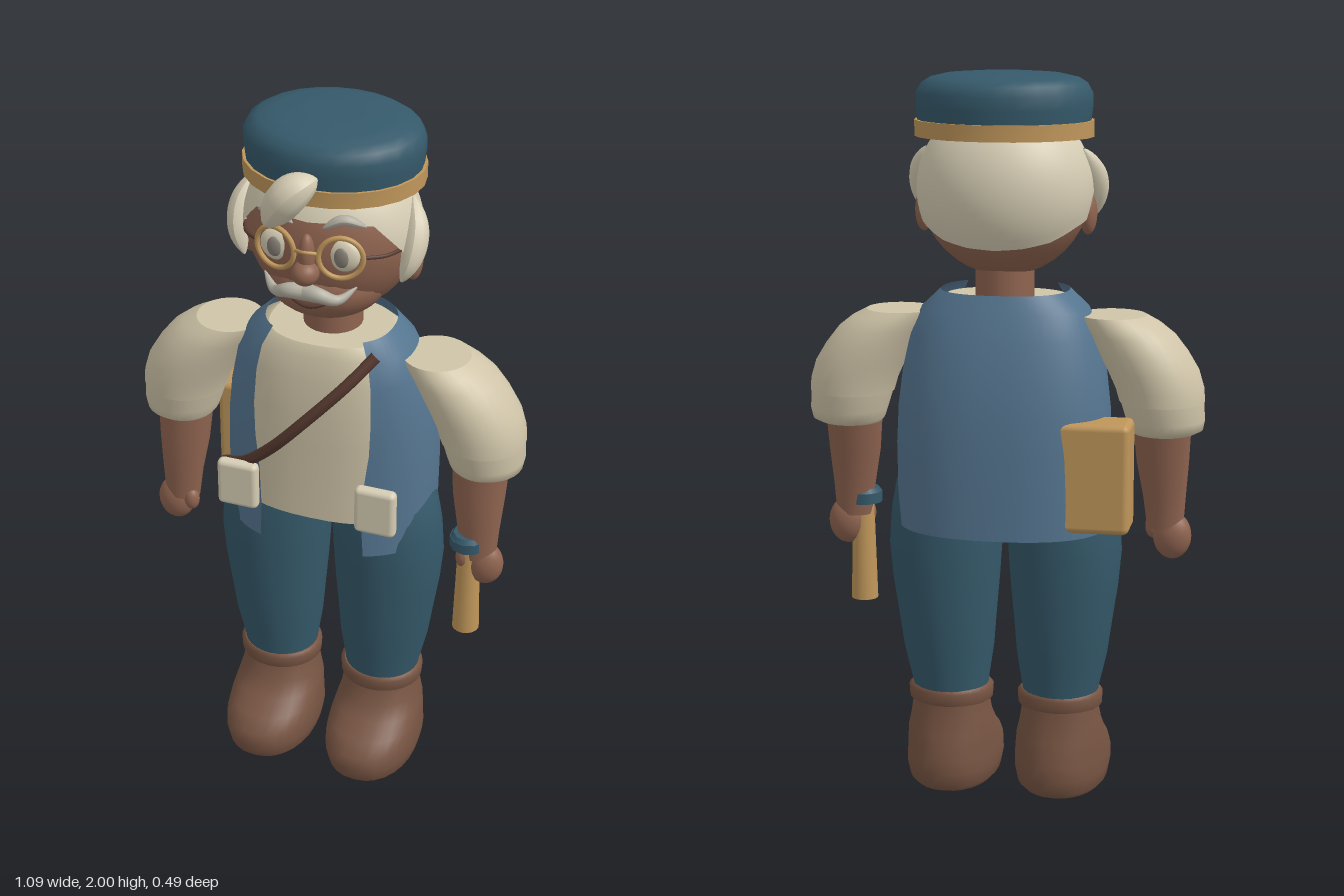
import * as THREE from 'three';
import { mergeVertices } from 'three/addons/utils/BufferGeometryUtils.js';
import { RoundedBoxGeometry } from 'three/addons/geometries/RoundedBoxGeometry.js';

const mat = (name, color, side = THREE.FrontSide) => {
  const m = new THREE.MeshStandardMaterial({ color, side });
  m.name = name;
  return m;
};

export function createModel() {
  const root = new THREE.Group();
  root.name = 'craftsman';
  const M = {
    skin: mat('skin', 0x8f6450),
    cream: mat('shirt cream', 0xcfc4a8),
    hair: mat('pale hair', 0xd6cdb4, THREE.DoubleSide),
    grey: mat('moustache grey', 0xb3afa2),
    teal: mat('deep teal', 0x35596a),
    vest: mat('vest blue', 0x557590, THREE.DoubleSide),
    gold: mat('tan gold', 0xbf965a),
    boot: mat('boot brown', 0x785543),
    strap: mat('dark leather', 0x573a30),
    iris: mat('iris grey', 0x857f75),
  };
  const add = (name, geo, m, x = 0, y = 0, z = 0) => {
    const mesh = new THREE.Mesh(geo, m);
    mesh.name = name;
    mesh.position.set(x, y, z);
    root.add(mesh);
    return mesh;
  };

  // Surface grid: u runs counter-clockwise seen from above, v runs upward
  const grid = (nu, nv, fn) => {
    const pos = [], idx = [];
    for (let j = 0; j <= nv; j++) for (let i = 0; i <= nu; i++) pos.push(...fn(i / nu, j / nv, j));
    for (let j = 0; j < nv; j++) for (let i = 0; i < nu; i++) {
      const a = j * (nu + 1) + i, b = a + 1, c = a + nu + 1;
      idx.push(a, b, c + 1, a, c + 1, c);
    }
    const g = new THREE.BufferGeometry();
    g.setAttribute('position', new THREE.Float32BufferAttribute(pos, 3));
    g.setIndex(idx);
    const merged = mergeVertices(g, 1e-5);
    merged.computeVertexNormals();
    return merged;
  };
  const se = (v, p) => Math.sign(v) * Math.abs(v) ** (2 / p);

  // Stacked oval rings [y, cx, cz, rx, rz] from bottom to top, with flat ends
  const loft = (name, rings, m, s = 1, p = 2, n = 28) => {
    const at = (r, a) => [r[1] * s + r[3] * se(Math.sin(a), p), r[0], r[2] + r[4] * se(Math.cos(a), p)];
    add(name, grid(n, rings.length - 1, (u, v, j) => at(rings[j], u * Math.PI * 2)), m);
    [rings[0], rings[rings.length - 1]].forEach((r, k) => {
      const dot = [r[0], r[1], r[2], 0, 0];
      const ends = k ? [r, dot] : [dot, r];
      add(name + 'End', grid(n, 1, (u, v, j) => at(ends[j], u * Math.PI * 2)), m);
    });
  };

  // Tube through points whose radius follows a function of its length
  const strand = (name, pts, radius, m, n = 20) => {
    const curve = new THREE.CatmullRomCurve3(pts.map(q => new THREE.Vector3(...q)));
    const g = new THREE.TubeGeometry(curve, n, 1, 10), pa = g.attributes.position, v = new THREE.Vector3();
    for (let i = 0; i < pa.count; i++) {
      const t = Math.floor(i / 11) / n, c = curve.getPointAt(t);
      v.fromBufferAttribute(pa, i).sub(c).multiplyScalar(radius(t)).add(c);
      pa.setXYZ(i, v.x, v.y, v.z);
    }
    g.computeVertexNormals();
    add(name, g, m);
  };
  const leaf = r => t => r * Math.max(Math.sin(Math.PI * t), 0.02) ** 0.6;
  const ball = (name, m, x, y, z, rx, ry, rz) =>
    add(name, new THREE.SphereGeometry(1, 28, 20).scale(rx, ry, rz), m, x, y, z);

  // Legs, boots and arms, mirrored
  for (const s of [1, -1]) {
    loft('trouserLeg', [[0.22, 0.155, -0.012, 0.1, 0.1], [0.3, 0.157, -0.012, 0.108, 0.104], [0.4, 0.161, -0.013, 0.127, 0.12],
      [0.5, 0.164, -0.014, 0.138, 0.128], [0.6, 0.167, -0.015, 0.15, 0.134], [0.7, 0.168, -0.015, 0.158, 0.138],
      [0.8, 0.163, -0.015, 0.156, 0.138], [0.88, 0.155, -0.015, 0.15, 0.13], [0.95, 0.14, -0.015, 0.13, 0.115]], M.teal, s);
    loft('boot', [[0, 0.156, 0.047, 0.112, 0.172], [0.015, 0.156, 0.047, 0.126, 0.187], [0.055, 0.156, 0.047, 0.134, 0.197],
      [0.095, 0.156, 0.046, 0.133, 0.191], [0.13, 0.156, 0.03, 0.129, 0.168], [0.16, 0.156, 0.006, 0.124, 0.137],
      [0.2, 0.156, -0.007, 0.114, 0.114], [0.25, 0.156, -0.012, 0.106, 0.103]], M.boot, s, 2.2);
    loft('bootCuff', [[0.243, 0.156, -0.01, 0.108, 0.1], [0.25, 0.156, -0.01, 0.118, 0.11],
      [0.282, 0.156, -0.01, 0.12, 0.112], [0.292, 0.156, -0.01, 0.11, 0.104]], M.boot, s);
    loft('puffSleeve', [[1.125, 0.43, -0.012, 0.116, 0.12], [1.16, 0.424, -0.012, 0.12, 0.123], [1.21, 0.405, -0.012, 0.124, 0.125],
      [1.26, 0.377, -0.012, 0.122, 0.123], [1.305, 0.347, -0.012, 0.117, 0.116], [1.335, 0.318, -0.012, 0.108, 0.105],
      [1.357, 0.293, -0.012, 0.092, 0.092]], M.cream, s);
    loft('sleeveCuff', [[1.037, 0.436, -0.008, 0.085, 0.085], [1.048, 0.442, -0.01, 0.1, 0.1],
      [1.075, 0.44, -0.012, 0.107, 0.11], [1.13, 0.43, -0.012, 0.114, 0.117]], M.cream, s);
    loft('forearm', [[0.76, 0.44, 0.025, 0.05, 0.038], [0.85, 0.437, 0.022, 0.059, 0.044],
      [0.95, 0.432, 0.012, 0.072, 0.054], [1.06, 0.43, 0, 0.08, 0.06]], M.skin, s);
    ball('hand', M.skin, 0.46 * s, 0.738, 0.025, 0.053, 0.066, 0.041);
    ball('thumb', M.skin, 0.405 * s, 0.757, 0.045, 0.022, 0.034, 0.022);
    add('beltPouch', new RoundedBoxGeometry(0.116, 0.142, 0.036, 3, 0.015), M.hair, 0.197 * s, 0.96, 0.193);
  }

  // Vest and shirt share body rings [y, cz, rx, rz, half opening]
  const body = [[0.77, -0.032, 0.286, 0.208, 0.15], [0.87, -0.032, 0.292, 0.207, 0.145], [1, -0.031, 0.294, 0.204, 0.15],
    [1.1, -0.028, 0.29, 0.2, 0.162], [1.2, -0.022, 0.278, 0.194, 0.165], [1.3, -0.015, 0.257, 0.178, 0.16],
    [1.37, -0.01, 0.228, 0.161, 0.148], [1.42, -0.01, 0.175, 0.142, 0.125]];
  const P = 2.4;
  add('vest', grid(44, body.length - 1, (u, v, j) => {
    const [y, cz, rx, rz, open] = body[j];
    const a0 = Math.asin((open / rx) ** (P / 2)), a = a0 + u * (Math.PI * 2 - 2 * a0);
    return [rx * se(Math.sin(a), P), y, cz + rz * se(Math.cos(a), P)];
  }), M.vest);
  loft('shirt', body.slice(1).map(([y, cz, rx, rz]) => [Math.min(y, 1.4), 0, cz, rx * 0.95, rz * 0.95]), M.cream, 1, P, 44);
  strand('shoulderStrap', [[0.17, 1.4, 0.125], [0.11, 1.33, 0.175], [0, 1.21, 0.21], [-0.09, 1.11, 0.205],
    [-0.18, 1.02, 0.165], [-0.3, 0.91, 0.04]], () => 0.016, M.strap, 32);

  // Satchel on the back hip and hand tool
  add('satchel', new RoundedBoxGeometry(0.2, 0.3, 0.13, 3, 0.018), M.gold, -0.265, 0.94, -0.135);
  add('toolHandle', new THREE.CylinderGeometry(0.03, 0.038, 0.29, 16), M.gold, 0.416, 0.655, 0.033);
  add('toolHead', new THREE.CylinderGeometry(0.052, 0.052, 0.03, 10), M.teal, 0.414, 0.808, 0.033);
  add('toolTip', new THREE.CylinderGeometry(0.042, 0.05, 0.012, 10), M.teal, 0.414, 0.829, 0.033);

  // Neck and head
  add('neck', new THREE.CylinderGeometry(0.08, 0.08, 0.14, 24), M.skin, 0, 1.44, -0.022);
  ball('head', M.skin, 0, 1.69, -0.02, 0.23, 0.232, 0.2);
  ball('jaw', M.skin, 0, 1.57, 0.03, 0.165, 0.11, 0.145);

  // Hair shell with a hairline that drops from brow to nape
  const line = [1.785, 1.79, 1.775, 1.68, 1.62, 1.6, 1.565, 1.55, 1.545];
  add('hair', grid(64, 14, (u, v) => {
    const a = u * Math.PI * 2, k = Math.min(u, 1 - u) * 16, i = Math.min(7, Math.floor(k));
    const y0 = line[i] + (line[i + 1] - line[i]) * (k - i);
    const y = y0 + (1.88 - y0) * v, r = Math.sqrt(1 - ((y - 1.69) / 0.24) ** 2);
    return [0.238 * r * Math.sin(a), y, -0.02 + 0.208 * r * Math.cos(a)];
  }), M.hair);
  strand('quiff', [[-0.12, 1.745, 0.155], [-0.085, 1.8, 0.185], [-0.035, 1.87, 0.195], [0.025, 1.91, 0.165]],
    t => 0.05 * Math.max(Math.sin(Math.PI * t ** 1.4), 0.01) ** 0.6, M.hair);

  // Cap and band
  const capRing = (y, k) => [y, 0, -0.03, 0.241 * k, 0.205 * k];
  loft('capBand', [capRing(1.832, 1), capRing(1.875, 1)], M.gold, 1, 2, 24);
  loft('cap', [[1.87, 0.965], [1.91, 0.985], [1.945, 0.985], [1.97, 0.93], [1.985, 0.83], [1.995, 0.65], [2, 0.35]]
    .map(q => capRing(...q)), M.teal, 1, 2, 24);

  // Face: paired features
  for (const s of [1, -1]) {
    ball('ear', M.skin, 0.224 * s, 1.628, -0.01, 0.024, 0.058, 0.032);
    strand('sideTuft', [[0.215 * s, 1.6, 0.065], [0.236 * s, 1.66, 0.05], [0.238 * s, 1.73, 0.015], [0.212 * s, 1.8, -0.03]], leaf(0.033), M.hair);
    ball('eye', M.hair, 0.088 * s, 1.7, 0.153, 0.046, 0.046, 0.022);
    ball('iris', M.iris, 0.09 * s, 1.7, 0.17, 0.02, 0.028, 0.01);
    const rim = add('spectacleRim', new THREE.TorusGeometry(0.057, 0.007, 8, 32), M.gold, 0.088 * s, 1.698, 0.168);
    rim.rotation.y = 0.25 * s;
    strand('spectacleArm', [[0.143 * s, 1.7, 0.152], [0.19 * s, 1.695, 0.11], [0.228 * s, 1.69, 0.02]], () => 0.005, M.strap);
    strand('eyebrow', [[0.04 * s, 1.775, 0.17], [0.09 * s, 1.8, 0.157], [0.145 * s, 1.78, 0.135]], leaf(0.014), M.grey);
    strand('moustache', [[0, 1.6, 0.195], [0.04 * s, 1.602, 0.205], [0.085 * s, 1.585, 0.185], [0.125 * s, 1.612, 0.15]],
      t => 0.024 * Math.max(1 - t, 0.02) ** 0.6, M.grey);
  }
  strand('spectacleBridge', [[-0.034, 1.705, 0.18], [0, 1.715, 0.2], [0.034, 1.705, 0.18]], () => 0.005, M.gold);
  ball('noseBridge', M.skin, 0, 1.695, 0.177, 0.022, 0.06, 0.026);
  ball('noseTip', M.skin, 0, 1.65, 0.188, 0.036, 0.033, 0.038);
  strand('mouth', [[-0.07, 1.562, 0.155], [0, 1.545, 0.172], [0.07, 1.562, 0.155]], leaf(0.007), M.strap);

  return root;
}
